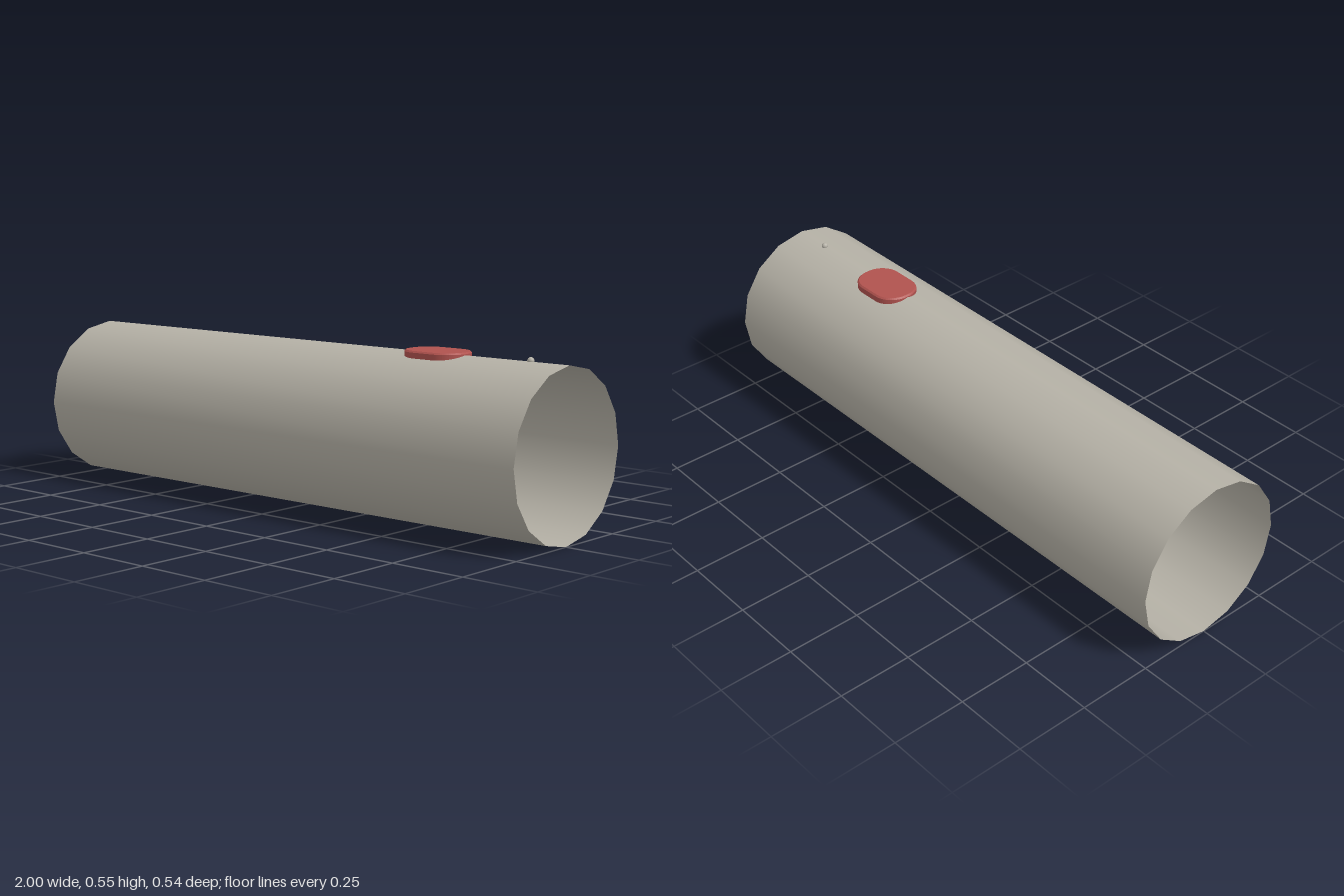
import * as THREE from 'three';

const R = 0.27, SIDES = 16;

// Height of the faceted tube top at a given z (close to the crown)
function roofY(z) {
  const a = Math.PI * 2 / SIDES;
  const z1 = R * Math.sin(a), y1 = R * Math.cos(a);
  return R + R - (R - y1) * Math.abs(z) / z1;
}

// Rounded outline, centred on the origin
function roundedShape(w, d, r) {
  const s = new THREE.Shape();
  s.absarc(w - r, d - r, r, 0, Math.PI / 2, false);
  s.absarc(-w + r, d - r, r, Math.PI / 2, Math.PI, false);
  s.absarc(-w + r, -d + r, r, Math.PI, Math.PI * 1.5, false);
  s.absarc(w - r, -d + r, r, Math.PI * 1.5, Math.PI * 2, false);
  return s;
}

export function createModel() {
  const model = new THREE.Group();
  const grey = new THREE.MeshStandardMaterial({ color: 0xb5b1a6, side: THREE.DoubleSide });
  grey.name = 'warm grey';
  const red = new THREE.MeshStandardMaterial({ color: 0xb0524e });
  red.name = 'muted red';

  const add = (name, geometry, material, x, y, z) => {
    const mesh = new THREE.Mesh(geometry, material);
    mesh.name = name;
    mesh.position.set(x, y, z);
    model.add(mesh);
  };

  // Open thin-walled tube lying along x
  const tube = new THREE.CylinderGeometry(R, R, 2, SIDES, 1, true);
  tube.rotateZ(-Math.PI / 2);
  add('tube', tube, grey, 0, R, 0);

  // Button with a chamfered rim, sunk into the crown
  const bx = 0.512, bz = -0.003, w = 0.108, d = 0.078, r = 0.072, bevel = 0.005;
  const button = new THREE.ExtrudeGeometry(roundedShape(w - bevel, d - bevel, r - bevel), {
    depth: 0.031, bevelEnabled: true, bevelSize: bevel, bevelThickness: bevel,
    bevelSegments: 1, curveSegments: 8,
  });
  // Flatten the lower chamfer so the base stays straight-sided
  const p = button.attributes.position;
  for (let i = 0; i < p.count; i++) p.setZ(i, Math.max(p.getZ(i), 0));
  button.rotateX(-Math.PI / 2);
  button.computeVertexNormals();
  add('button', button, red, bx, 0.512, bz);

  // Collar around the button, following the curve of the tube
  const outline = roundedShape(w + 0.001, d + 0.001, r).getPoints(8);
  const pos = [], index = [];
  outline.forEach((q, i) => {
    const y = roofY(q.y + bz);
    pos.push(q.x, y, q.y, q.x, y - 0.013, q.y);
    const a = i * 2, b = ((i + 1) % outline.length) * 2;
    index.push(a, b, a + 1, b, b + 1, a + 1);
  });
  const collar = new THREE.BufferGeometry();
  collar.setAttribute('position', new THREE.Float32BufferAttribute(pos, 3));
  collar.setIndex(index);
  collar.computeVertexNormals();
  add('buttonCollar', collar, grey, bx, 0, bz);

  // Small bead near the end
  add('bead', new THREE.SphereGeometry(0.011, 12, 8), grey, 0.86, 0.542, -0.003);

  return model;
}
